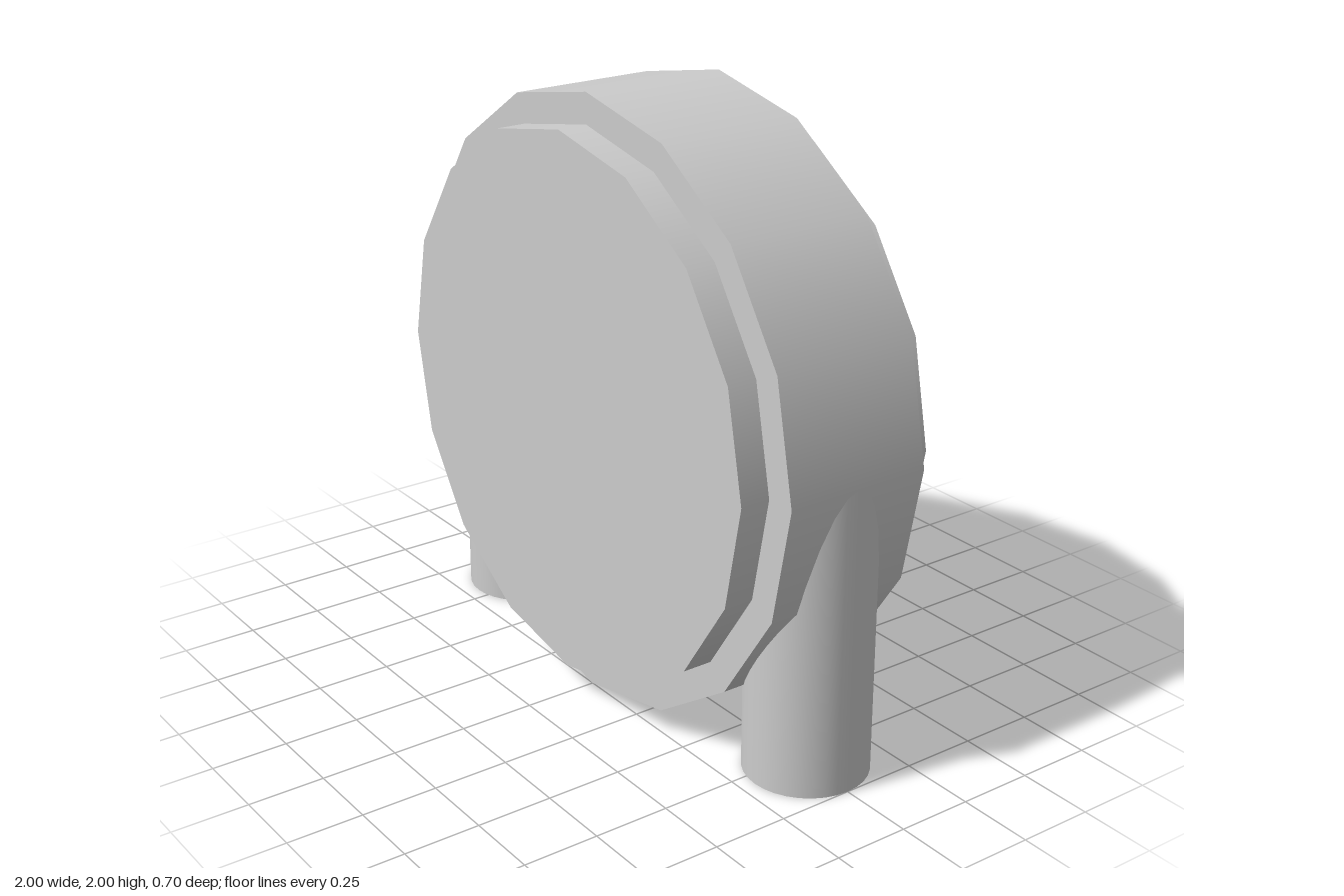
import * as THREE from 'three';

export function createModel() {
  const model = new THREE.Group();
  const grey = new THREE.MeshStandardMaterial({ color: 0xcccccc });
  grey.name = 'light grey';

  // Sixteen-sided drum lying along z, with a corner at the top
  function addDisc(name, radius, depth) {
    const geometry = new THREE.CylinderGeometry(radius, radius, depth, 16);
    geometry.rotateX(Math.PI / 2);
    const disc = new THREE.Mesh(geometry, grey);
    disc.name = name;
    disc.position.y = 1;
    model.add(disc);
  }
  addDisc('outerRim', 1, 0.5);
  addDisc('innerDrum', 0.9, 0.7);

  // Round legs that run up into the rim
  const legGeometry = new THREE.CylinderGeometry(0.2, 0.2, 1, 32);
  for (const [name, side] of [['leftLeg', 1], ['rightLeg', -1]]) {
    const leg = new THREE.Mesh(legGeometry, grey);
    leg.name = name;
    leg.position.set(side * 0.8, 0.5, 0);
    model.add(leg);
  }
  return model;
}
